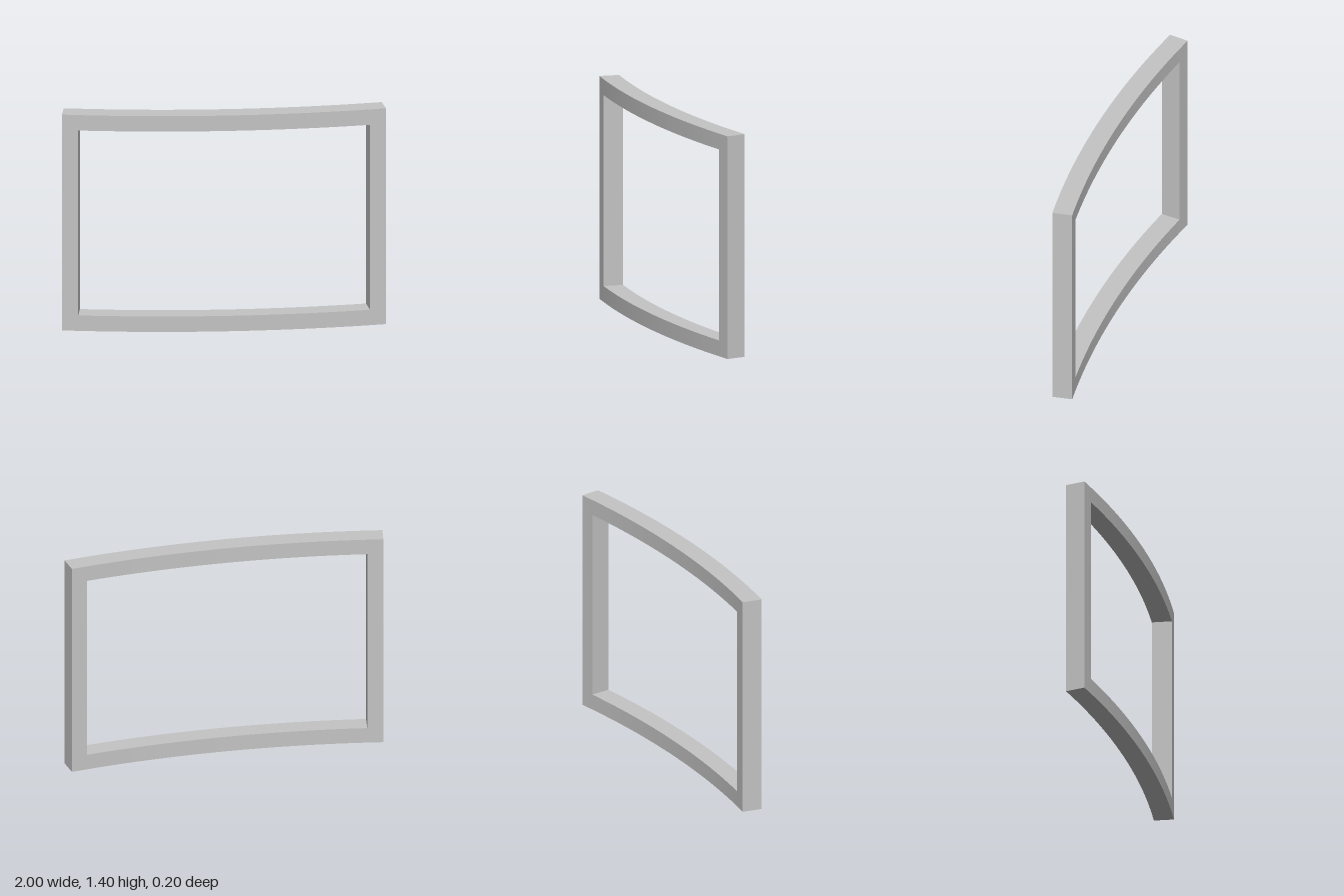
import * as THREE from 'three';
import { toCreasedNormals } from 'three/addons/utils/BufferGeometryUtils.js';

const HEIGHT = 1.4, BAR = 0.1;           // overall height, bar width
const R = 6.28, DEPTH = 0.125;           // front radius, frame depth
const FRONT = 0.102;                     // z of the front at the middle
const OUTER = Math.asin(1 / R);          // half angle of the whole frame
const INNER = Math.asin((1 - BAR) / R);  // half angle of the opening

// Curved bar: an arc sector in plan, extruded upwards
function curvedBar(a0, a1, y0, y1, segments) {
  const cy = R - FRONT, down = -Math.PI / 2;
  const shape = new THREE.Shape();
  shape.absarc(0, cy, R, down + a0, down + a1, false);
  shape.absarc(0, cy, R - DEPTH, down + a1, down + a0, true);
  shape.closePath();
  const geometry = new THREE.ExtrudeGeometry(shape, {
    depth: y1 - y0, bevelEnabled: false, curveSegments: segments,
  });
  geometry.rotateX(-Math.PI / 2).translate(0, y0, 0);
  return toCreasedNormals(geometry, 0.5);
}

export function createModel() {
  const group = new THREE.Group();
  group.name = 'curvedFrame';
  const grey = new THREE.MeshStandardMaterial({ color: 0xc4c4c4 });
  grey.name = 'light grey';

  const add = (name, ...bar) => {
    const mesh = new THREE.Mesh(curvedBar(...bar), grey);
    mesh.name = name;
    group.add(mesh);
  };

  // Rails run the full width, posts stand between them
  add('bottomRail', -OUTER, OUTER, 0, BAR, 32);
  add('topRail', -OUTER, OUTER, HEIGHT - BAR, HEIGHT, 32);
  add('leftPost', INNER, OUTER, BAR, HEIGHT - BAR, 2);
  add('rightPost', -OUTER, -INNER, BAR, HEIGHT - BAR, 2);
  return group;
}
